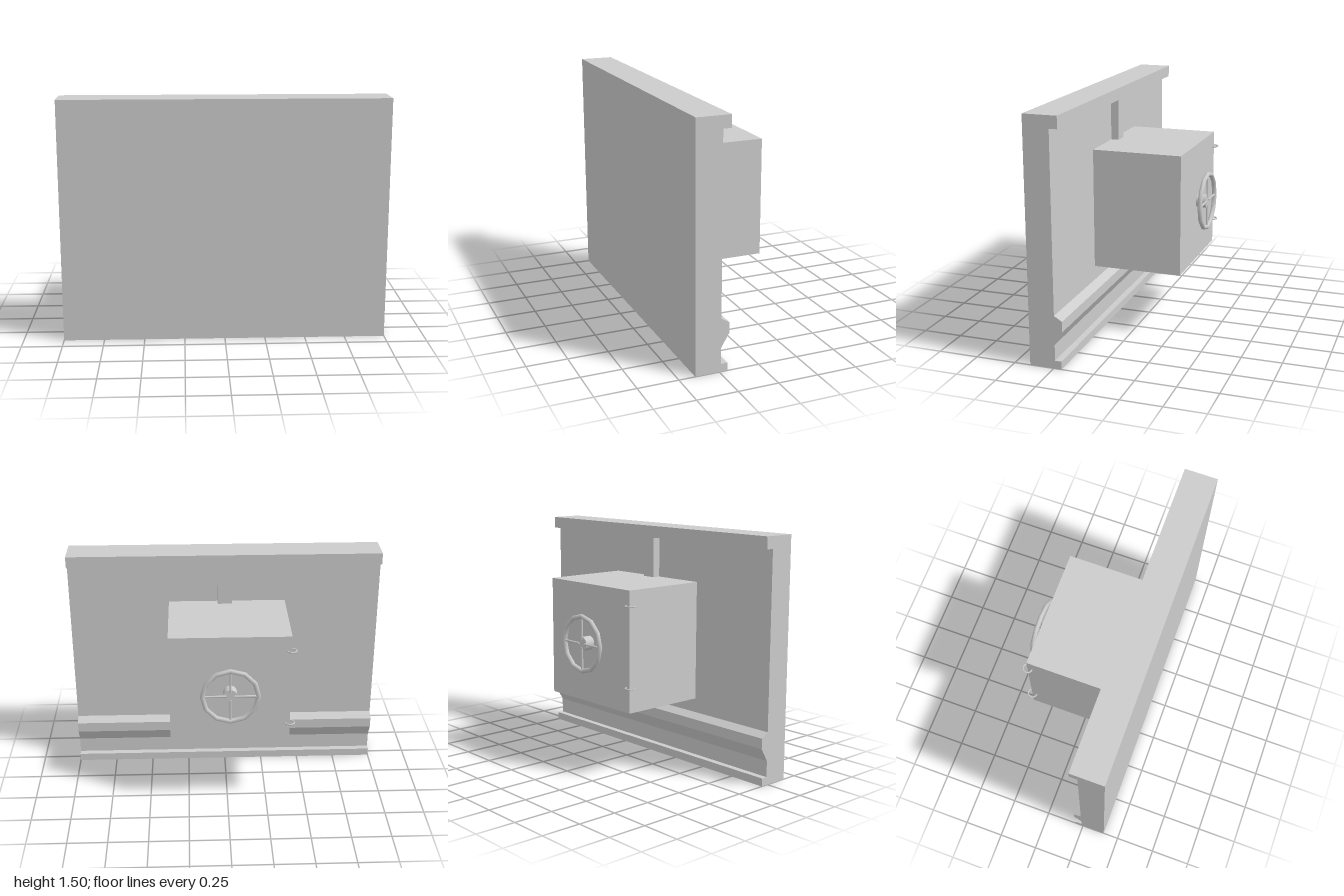
import * as THREE from 'three';

const material = new THREE.MeshStandardMaterial({ color: 0xcccccc });

export function createModel() {
  const group = new THREE.Group();
  const add = (name, geometry, x = 0, y = 0, z = 0, parent = group) => {
    const mesh = new THREE.Mesh(geometry, material);
    mesh.name = name;
    mesh.position.set(x, y, z);
    parent.add(mesh);
    return mesh;
  };

  // Wall panel: side profile [z, y] with top lip, moulding and base strip
  const profile = [
    [0.4, 0], [0.2, 0], [0.2, 0.05], [0.24, 0.05], [0.24, 0.15], [0.19, 0.235],
    [0.19, 0.3], [0.24, 0.33], [0.24, 1.425], [0.19, 1.425], [0.19, 1.5], [0.4, 1.5],
  ];
  const shape = new THREE.Shape(profile.map(([z, y]) => new THREE.Vector2(-z, y)));
  const wall = new THREE.ExtrudeGeometry(shape, { depth: 2, bevelEnabled: false });
  wall.rotateY(Math.PI / 2);
  add('wallPanel', wall, -1);

  // Vertical rib between the top lip and the moulding
  add('rib', new THREE.BoxGeometry(0.09, 1.125, 0.05), 0, 0.8625, 0.215);

  // Safe body
  add('safeBody', new THREE.BoxGeometry(0.75, 0.75, 0.56), -0.015, 0.795, -0.04);

  // Hand wheel: rim, hub and four spokes
  const wheel = new THREE.Group();
  wheel.name = 'handWheel';
  wheel.position.set(-0.015, 0.802, -0.383);
  group.add(wheel);
  add('rim', new THREE.TorusGeometry(0.173, 0.015, 8, 12), 0, 0, 0, wheel);
  const hub = new THREE.CylinderGeometry(0.043, 0.043, 0.068, 20).rotateX(Math.PI / 2);
  add('hub', hub, 0, 0, 0.034, wheel);
  for (let i = 0; i < 4; i++) {
    const spoke = new THREE.CylinderGeometry(0.007, 0.007, 0.15, 8);
    spoke.translate(0, 0.1, 0).rotateZ(i * Math.PI / 2);
    add('spoke', spoke, 0, 0, 0, wheel);
  }

  // Hinge rings on the door corner
  for (const y of [0.575, 1.075]) {
    add('hingeRing', new THREE.TorusGeometry(0.029, 0.005, 8, 12).rotateX(Math.PI / 2), -0.39, y, -0.318);
  }
  return group;
}
